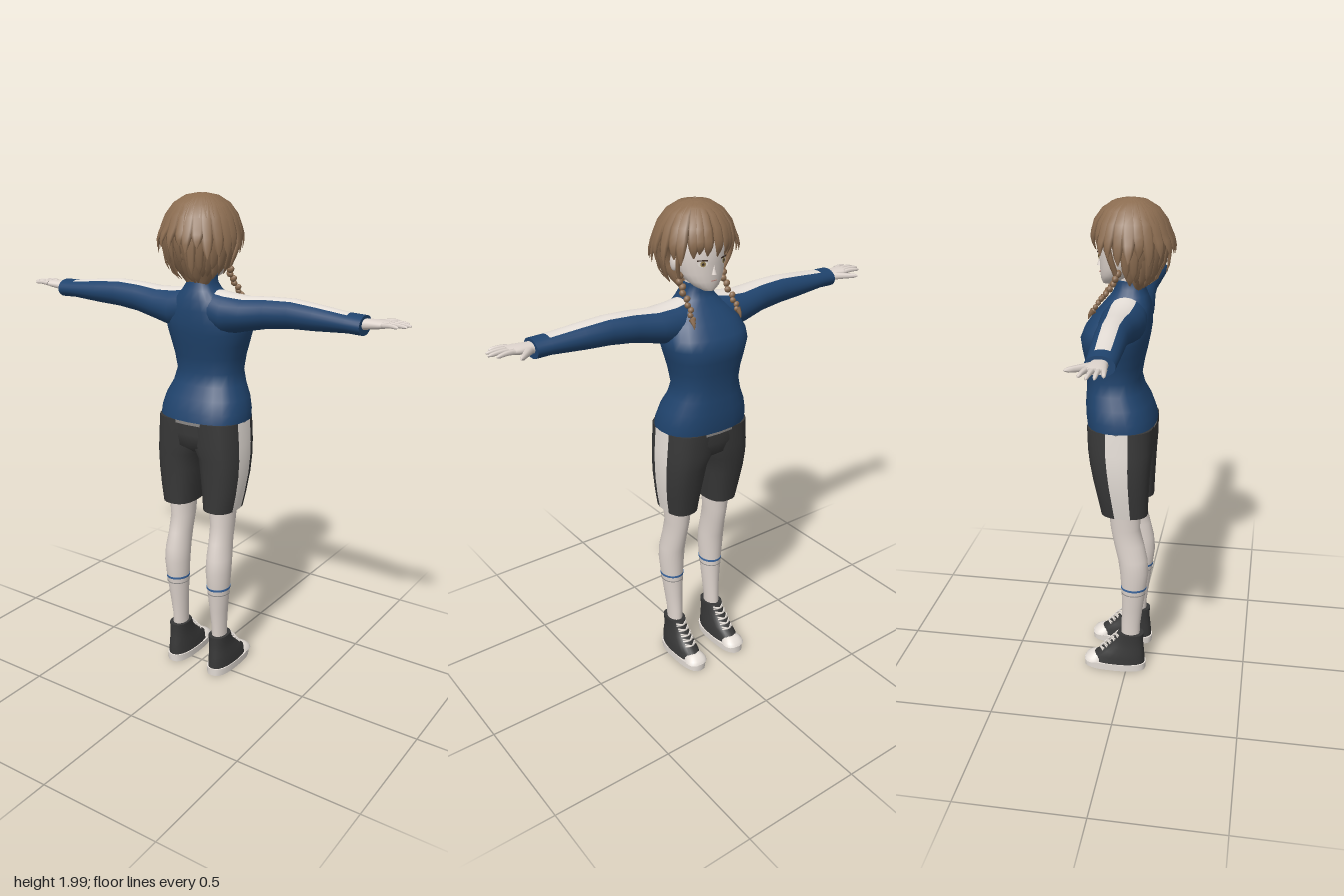
import * as THREE from 'three';
import { mergeGeometries } from 'three/addons/utils/BufferGeometryUtils.js';

const V = (x, y, z) => new THREE.Vector3(x, y, z);

const paint = (name, color) => {
  const m = new THREE.MeshStandardMaterial({ color });
  m.name = name;
  return m;
};

// Skin a list of closed rings; pick(i, j) chooses the material index of a quad
function loft(rings, pick = null) {
  const n = rings[0].length, pos = [], lists = [[], []];
  const push = r => r.forEach(p => pos.push(p.x, p.y, p.z));
  rings.forEach(push);
  for (let i = 0; i < rings.length - 1; i++) for (let j = 0; j < n; j++) {
    const a = i * n + j, c = i * n + (j + 1) % n;
    lists[pick && pick(i, j) ? 1 : 0].push(a, a + n, c, a + n, c + n, c);
  }
  // end caps on their own vertices, so their edges stay sharp
  [rings[0], rings[rings.length - 1]].forEach((r, e) => {
    const s = pos.length / 3;
    push(r);
    for (let j = 1; j < n - 1; j++) lists[0].push(s, e ? s + j + 1 : s + j, e ? s + j : s + j + 1);
  });
  const g = new THREE.BufferGeometry();
  g.setAttribute('position', new THREE.Float32BufferAttribute(pos, 3));
  g.setIndex([...lists[0], ...lists[1]]);
  if (pick) {
    g.addGroup(0, lists[0].length, 0);
    g.addGroup(lists[0].length, lists[1].length, 1);
  }
  g.computeVertexNormals();
  return g;
}

// Superellipse rings along an axis; each row is [position, u0, u1, v0, v1]
function sections(axis, rows, power = 2, n = 24) {
  const f = c => Math.sign(c) * Math.abs(c) ** (2 / power);
  return rows.map(([t, u0, u1, v0, v1]) => Array.from({ length: n }, (_, j) => {
    const a = j / n * Math.PI * 2;
    const u = (u0 + u1) / 2 + (u1 - u0) / 2 * f(Math.cos(a));
    const s = (v1 - v0) / 2 * f(Math.sin(a)), v = (v0 + v1) / 2;
    return axis === 'y' ? V(u, t, v + s) : V(t, u, v - s);
  }));
}
const body = (rows, power, pick) => loft(sections('y', rows, power), pick);
const centred = rows => rows.map(([y, w, z0, z1]) => [y, -w, w, z0, z1]);

// Tapering strand along a curve; width(t) is its half width
function strand(points, width, flat = 1, out = V(0, 1, 0), sides = 6, steps = 7) {
  const curve = new THREE.CatmullRomCurve3(points);
  return loft(Array.from({ length: steps + 1 }, (_, i) => {
    const t = i / steps, p = curve.getPoint(t), tan = curve.getTangent(t);
    const side = tan.clone().cross(out).normalize(), nrm = side.clone().cross(tan);
    return Array.from({ length: sides }, (_, j) => {
      const a = j / sides * Math.PI * 2, w = width(t);
      return p.clone().addScaledVector(side, Math.cos(a) * w).addScaledVector(nrm, Math.sin(a) * w * flat);
    });
  }));
}

// Mirror a geometry across x = 0
function mirrored(geo) {
  const g = geo.clone().scale(-1, 1, 1), ix = g.index.array;
  for (let i = 0; i < ix.length; i += 3) [ix[i + 1], ix[i + 2]] = [ix[i + 2], ix[i + 1]];
  g.computeVertexNormals();
  return g;
}

export function createModel() {
  const model = new THREE.Group();
  const navy = paint('navy cloth', 0x20446e), dark = paint('charcoal', 0x383838);
  const white = paint('white trim', 0xe6dfd8), skin = paint('pale skin', 0xdfd5ce);
  const brown = paint('brown hair', 0x8c6d51), grey = paint('grey hem', 0x8d8a88);
  const blue = paint('blue band', 0x3d68a0), iris = paint('hazel iris', 0x9a8452);
  const lash = paint('dark lash', 0x3a2c24), lip = paint('lip', 0xb98c82);
  const add = (name, geo, mat) => {
    const m = new THREE.Mesh(geo, mat);
    m.name = name;
    model.add(m);
    return m;
  };
  const both = (name, geo, mat) => {
    add('left' + name, geo, mat);
    add('right' + name, mirrored(geo), mat);
  };

  // Shirt with collar, and its hem
  add('shirt', body(centred([
    [1.125, .187, -.17, .106], [1.16, .185, -.174, .1], [1.21, .172, -.175, .082], [1.26, .148, -.172, .055],
    [1.31, .135, -.17, .042], [1.37, .145, -.176, .052], [1.42, .158, -.186, .064], [1.47, .172, -.192, .074],
    [1.51, .172, -.176, .08], [1.56, .15, -.14, .08], [1.6, .115, -.105, .076], [1.635, .075, -.075, .064],
    [1.66, .058, -.062, .054], [1.69, .055, -.064, .05]]), 2.4), navy);
  add('shirtHem', body(centred([[1.112, .183, -.165, .104], [1.13, .184, -.166, .105]]), 2.4), grey);

  // Sleeves, with a white stripe along the top
  both('Sleeve', loft(sections('x', [
    [.04, 1.48, 1.642, -.085, .07], [.12, 1.47, 1.63, -.1, .074], [.2, 1.49, 1.624, -.092, .065],
    [.3, 1.513, 1.632, -.075, .055], [.4, 1.525, 1.635, -.068, .052], [.5, 1.53, 1.626, -.06, .055],
    [.63, 1.54, 1.612, -.048, .058], [.69, 1.538, 1.61, -.046, .058]]),
    (i, j) => i < 6 && (j < 2 || j > 21)), [navy, white]);

  // Hands
  const hand = [loft(sections('x', [
    [.67, 1.556, 1.598, -.022, .034], [.71, 1.563, 1.599, -.028, .036],
    [.75, 1.57, 1.6, -.032, .042], [.78, 1.577, 1.598, -.026, .042]], 2.4))];
  [[-.02, -.034, .836], [0, -.006, .855], [.018, .02, .85], [.035, .045, .828]].forEach(([z0, z1, x]) =>
    hand.push(strand([V(.765, 1.588, z0), V((.765 + x) / 2, 1.591, (z0 + z1) / 2), V(x, 1.588, z1)],
      t => t > .99 ? .003 : .0105 - .004 * t)));
  hand.push(strand([V(.705, 1.578, -.015), V(.74, 1.582, -.052), V(.776, 1.585, -.09)],
    t => t > .99 ? .003 : .016 - .008 * t));
  both('Hand', mergeGeometries(hand), skin);

  // Shorts: a seat and two legs, with a white side stripe
  add('shortsSeat', body(centred([
    [.985, .07, -.1, .05], [1.02, .12, -.15, .1], [1.07, .16, -.162, .102], [1.125, .17, -.162, .102]]), 2.4), dark);
  both('ShortsLeg', body([
    [.75, .032, .165, -.105, .084], [.82, .024, .178, -.118, .086], [.9, .014, .188, -.135, .09],
    [.97, .004, .191, -.148, .094], [1.03, -.03, .19, -.158, .1], [1.125, -.04, .183, -.162, .102]],
    2.5, (i, j) => j === 23 || j === 0), [dark, white]);

  // Legs and sock bands
  both('Leg', body([
    [.13, .072, .13, -.026, .052], [.22, .07, .13, -.025, .056], [.3, .064, .138, -.022, .066],
    [.4, .057, .149, -.024, .08], [.48, .053, .155, -.03, .09], [.54, .053, .154, -.038, .085],
    [.61, .055, .146, -.055, .07], [.68, .05, .147, -.068, .052], [.8, .04, .156, -.08, .06]]), skin);
  both('SockBand', body([[.4, .055, .151, -.026, .082], [.409, .055, .151, -.026, .083]]), blue);
  both('SockSeam', body([[.378, .057, .149, -.025, .079], [.381, .057, .149, -.025, .079]]), grey);

  // High-top shoes with soles, toe caps and laces
  both('ShoeUpper', body([
    [.025, .053, .153, -.168, .077], [.06, .055, .151, -.145, .076], [.085, .058, .148, -.11, .074],
    [.11, .061, .143, -.08, .071], [.14, .063, .14, -.055, .069], [.175, .062, .141, -.04, .071]], 2.3), dark);
  both('ShoeSole', body([[0, .052, .154, -.186, .08], [.032, .049, .156, -.188, .082]], 2.6), white);
  both('ToeCap', body([
    [.03, .055, .151, -.187, -.1], [.045, .06, .146, -.18, -.1], [.057, .072, .134, -.162, -.105],
    [.062, .085, .121, -.148, -.115]], 2.3), white);
  const laces = [];
  for (let k = 0; k < 5; k++) {
    const y = .084 + k * .018, z = -.113 + k * .0165 - .002 * (k === 2);
    for (const s of [-1, 1]) laces.push(strand(
      [V(.102 - s * .026, y, z + .01), V(.102, y + .005, z - .004), V(.102 + s * .026, y + .01, z + .014)], () => .0035));
  }
  both('Laces', mergeGeometries(laces), white);

  // Head, neck and nose
  add('head', body(centred([
    [1.674, .022, -.108, -.06], [1.69, .05, -.114, -.03], [1.712, .072, -.117, .01], [1.74, .089, -.118, .05],
    [1.78, .1, -.12, .08], [1.83, .106, -.122, .09], [1.89, .1, -.11, .09], [1.93, .07, -.08, .06]])), skin);
  add('neck', new THREE.CylinderGeometry(.042, .046, .16, 20).translate(0, 1.67, -.005), skin);
  const nose = new THREE.ConeGeometry(.011, .035, 8).translate(0, 1.757, -.12);
  add('nose', nose, skin);
  both('Ear', new THREE.SphereGeometry(.025, 12, 8).scale(.45, 1.2, .8).translate(.102, 1.775, -.01), skin);

  // Face details laid on the curve of the head
  const onFace = (name, geo, x, y, lift, mat) => {
    const nx = x / .1, nz = -Math.sqrt(1 - nx * nx);
    const m = add(name, geo, mat);
    m.position.set(nx * (.1 + lift), y, -.02 + nz * (.1 + lift));
    m.rotation.y = Math.atan2(nx, nz);
  };
  for (const [s, side] of [[1, 'left'], [-1, 'right']]) {
    onFace(side + 'EyeWhite', new THREE.CircleGeometry(.019, 16).scale(1, .62, 1), s * .045, 1.783, .004, white);
    onFace(side + 'Iris', new THREE.CircleGeometry(.0105, 16), s * .044, 1.783, .0055, iris);
    onFace(side + 'Pupil', new THREE.CircleGeometry(.005, 12), s * .044, 1.783, .0065, lash);
    onFace(side + 'Lash', new THREE.BoxGeometry(.04, .004, .003), s * .046, 1.796, .005, lash);
  }
  onFace('mouth', new THREE.BoxGeometry(.026, .003, .003), 0, 1.716, -.001, lip);

  // Hair mass under the locks, cut back below the fringe
  add('hairMass', body(centred([
    [1.655, .045, .01, .048], [1.7, .085, .0, .068], [1.75, .112, .01, .1], [1.8, .128, .01, .125],
    [1.84, .138, -.03, .136], [1.865, .141, -.132, .138], [1.91, .132, -.13, .13], [1.95, .105, -.108, .105],
    [1.977, .07, -.075, .065], [1.99, .025, -.03, .02]])), brown);

  // Locks fan from the crown: short fringe, flared middle layer, long nape layer
  let seed = 7;
  const rnd = () => (seed = (seed * 16807) % 2147483647) / 2147483647;
  const locks = [];
  const lock = (a, endY, endR, bulge, width) => {
    const d = V(Math.sin(a), 0, -Math.cos(a)), at = (r, y) => d.clone().multiplyScalar(r).add(V(0, y, -.002));
    const low = Math.min(1.835, endY + .05);
    locks.push(strand([at(.012, 1.989), at(.078, 1.97), at(.127, 1.918), at(bulge, 1.865), at((bulge + endR) / 2 + .006, (low + endY) / 2 + .02), at(endR, endY)],
      t => .002 + width * Math.sin(Math.PI * Math.min(1, .1 + t * .9)) ** .7, .3, d.clone().add(V(0, .6, 0))));
  };
  for (let k = 0; k < 26; k++) {
    const a = (k / 26 - .5) * 2 * Math.PI + (rnd() - .5) * .12, f = Math.abs(a);
    if (f < .75) lock(a, 1.8 + rnd() * .025, .133, .143, .02);
    else if (f < 1.5) lock(a, 1.765 + rnd() * .04, .145 + rnd() * .018, .147, .024);
    else lock(a, 1.755 + rnd() * .06, .155 + rnd() * .026, .15, .026);
  }
  for (let k = 0; k < 15; k++) {
    const a = Math.PI + (k / 14 - .5) * 2.9, f = Math.abs(a - Math.PI);
    lock(a, 1.655 + rnd() * .03 + f * .018, .06 + f * .032, .143, .026);
    lock(a + .1, 1.705 + rnd() * .04, .105 + rnd() * .03, .147, .022);
  }
  add('hairLocks', mergeGeometries(locks), brown);

  // Braids: a temple strand, alternating knots and a loose tip
  const path = new THREE.CatmullRomCurve3([V(.098, 1.73, -.035), V(.098, 1.68, -.06), V(.1, 1.63, -.102), V(.105, 1.59, -.128)]);
  const braid = [strand([V(.118, 1.85, -.075), V(.12, 1.79, -.06), V(.1, 1.72, -.04)], t => .014 - .004 * t, .6, V(1, 0, 0))];
  for (let k = 0; k < 9; k++) {
    const p = path.getPoint(k / 8), r = .0165 - k * .0006;
    braid.push(new THREE.SphereGeometry(r, 10, 7).scale(1, .85, .8).rotateZ(k % 2 ? .6 : -.6)
      .translate(p.x + (k % 2 ? .004 : -.004), p.y, p.z).deleteAttribute('uv'));
  }
  braid.push(strand([V(.105, 1.592, -.126), V(.107, 1.575, -.14), V(.108, 1.558, -.146)], t => .012 * (1 - t) + .001, 1, V(1, 0, 0)));
  both('Braid', mergeGeometries(braid), brown);

  return model;
}
